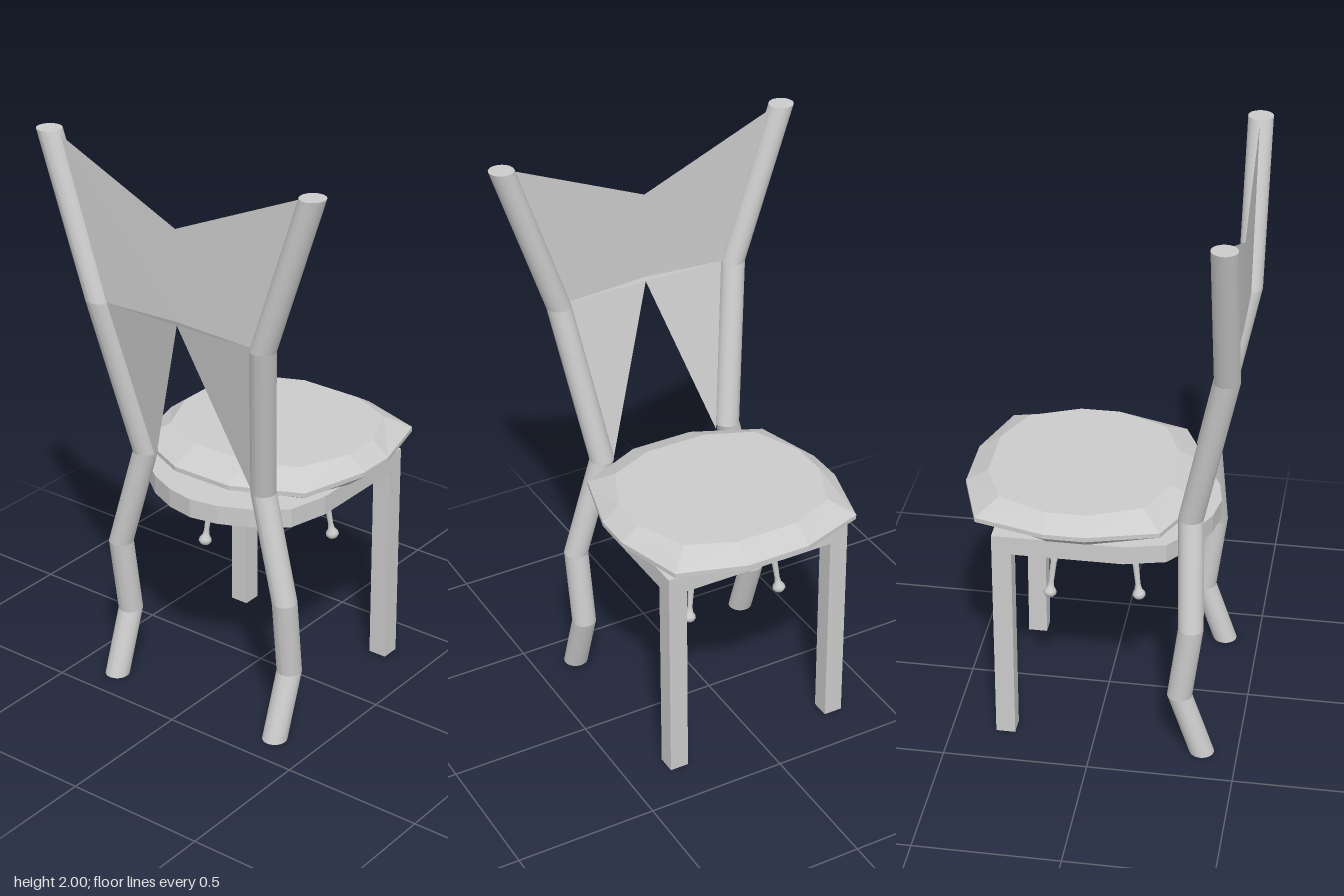
import * as THREE from 'three';

const material = new THREE.MeshStandardMaterial({ color: 0xcccccc });
const flat = new THREE.MeshStandardMaterial({ color: 0xcccccc, flatShading: true });
const sheet = new THREE.MeshStandardMaterial({ color: 0xcccccc, flatShading: true, side: THREE.DoubleSide });

function add(parent, name, geometry, mat, x = 0, y = 0, z = 0) {
  const mesh = new THREE.Mesh(geometry, mat);
  mesh.name = name;
  mesh.position.set(x, y, z);
  parent.add(mesh);
  return mesh;
}

// Round bar between two points, sheared so that both ends stay level
function shearedBar(a, b, r, open) {
  const h = b[1] - a[1];
  const geo = new THREE.CylinderGeometry(r, r, h, 24, 1, open);
  const p = geo.attributes.position;
  for (let i = 0; i < p.count; i++) {
    const t = p.getY(i) / h + 0.5;
    p.setXYZ(i, p.getX(i) + a[0] + (b[0] - a[0]) * t, a[1] + h * t, p.getZ(i) + a[2] + (b[2] - a[2]) * t);
  }
  geo.computeVertexNormals();
  return geo;
}

// Stacked outlines (bottom to top) closed by a fan at each end
function loft(rings) {
  const n = rings[0].length, pos = rings.flat(2), idx = [];
  for (let r = 0; r < rings.length - 1; r++) {
    for (let i = 0; i < n; i++) {
      const a = r * n + i, b = r * n + (i + 1) % n;
      idx.push(a, a + n, b, b, a + n, b + n);
    }
  }
  const top = (rings.length - 1) * n;
  for (let i = 1; i < n - 1; i++) {
    idx.push(0, i, i + 1, top, top + i + 1, top + i);
  }
  const geo = new THREE.BufferGeometry();
  geo.setAttribute('position', new THREE.Float32BufferAttribute(pos, 3));
  geo.setIndex(idx);
  const out = geo.toNonIndexed();
  out.computeVertexNormals();
  return out;
}

// Cushion outline: one quarter mirrored to twelve corners, clockwise from above
function cushionRing(q, y, cx, front, back) {
  const [x0, x1, x2, z1, z2] = q;
  const half = [[x0, front], [x1, z1], [x2, -0.157], [x2, -0.02], [x1, z2], [x0, back]];
  const other = half.map(([x, z]) => [-x, z]).reverse();
  return [...half, ...other].map(([x, z]) => [x + cx, y, z]);
}

export function createModel() {
  const group = new THREE.Group();

  // Bent rear posts, running from the floor to the top of the back
  const path = [
    [0.347, 0, 0.377], [0.347, 0.23, 0.297], [0.352, 0.51, 0.332],
    [0.25, 0.88, 0.313], [0.337, 1.45, 0.43], [0.523, 2, 0.43],
  ];
  for (const s of [1, -1]) {
    const post = new THREE.Group();
    post.name = s > 0 ? 'leftPost' : 'rightPost';
    for (let i = 0; i < path.length - 1; i++) {
      const [a, b] = [path[i], path[i + 1]].map(([x, y, z]) => [x * s, y, z]);
      const end = i === 0 || i === path.length - 2;
      add(post, 'postSection' + (i + 1), shearedBar(a, b, 0.043, !end), material);
    }
    group.add(post);
  }

  // Thin folded back panel with a notch above and a tall opening below
  const panel = [];
  for (const s of [1, -1]) {
    const outerTop = [s * 0.51, 2, 0.43], midTop = [0, 1.78, 0.441];
    const outerFold = [s * 0.325, 1.45, 0.437], midFold = [0, 1.465, 0.445];
    const tip = [s * 0.205, 0.86, 0.313], notch = [0, 1.45, 0.44];
    for (const t of [[outerTop, midTop, midFold], [outerTop, midFold, outerFold],
      [outerFold, midFold, notch], [outerFold, notch, tip]]) {
      panel.push(...(s > 0 ? t : [...t].reverse()).flat());
    }
  }
  const panelGeo = new THREE.BufferGeometry();
  panelGeo.setAttribute('position', new THREE.Float32BufferAttribute(panel, 3));
  panelGeo.computeVertexNormals();
  add(group, 'backPanel', panelGeo, sheet);

  // Faceted cushion
  const outer = [0.113, 0.347, 0.414, -0.4, 0.222];
  const inner = [0.113, 0.275, 0.35, -0.33, 0.155];
  const cx = 0.005;
  add(group, 'cushion', loft([
    cushionRing(inner, 0.802, cx, -0.4, 0.225),
    cushionRing(outer, 0.852, cx, -0.477, 0.33),
    cushionRing(outer, 0.868, cx, -0.477, 0.33),
    cushionRing(inner, 0.915, cx, -0.4, 0.225),
  ]), flat);

  // Seat frame, square at the front legs and rounded toward the back panel
  const side = [[0.345, -0.345], [0.345, 0.1], [0.31, 0.24], [0.2, 0.325], [0.1, 0.37]];
  const plan = [...side, [0, 0.388], ...side.map(([x, z]) => [-x, z]).reverse()];
  add(group, 'seatFrame', loft([0.737, 0.804].map(y => plan.map(([x, z]) => [x, y, z]))), flat);

  // Square legs
  for (const s of [1, -1]) {
    add(group, s > 0 ? 'leftSquareLeg' : 'rightSquareLeg',
      new THREE.BoxGeometry(0.067, 0.74, 0.067), flat, s * 0.3115, 0.37, -0.3115);
  }

  // Four splayed turned pegs hanging under the seat
  const profile = [[0, 0], [0.016, 0.002], [0.023, 0.012], [0.021, 0.022], [0.012, 0.036],
    [0.009, 0.055], [0.011, 0.13], [0.015, 0.15], [0.011, 0.17], [0.012, 0.27]]
    .map(([r, y]) => new THREE.Vector2(r, y));
  const pegGeo = new THREE.LatheGeometry(profile, 16);
  const up = new THREE.Vector3(0, 1, 0);
  for (const s of [1, -1]) {
    for (const [xt, zt, xb, zb] of [[0.126, 0.097, 0.147, 0.128], [0.147, -0.154, 0.18, -0.18]]) {
      const peg = add(group, 'peg', pegGeo, material, s * xb, 0.474, zb);
      const dir = new THREE.Vector3(s * (xt - xb), 0.265, zt - zb).normalize();
      peg.quaternion.setFromUnitVectors(up, dir);
    }
  }
  return group;
}
